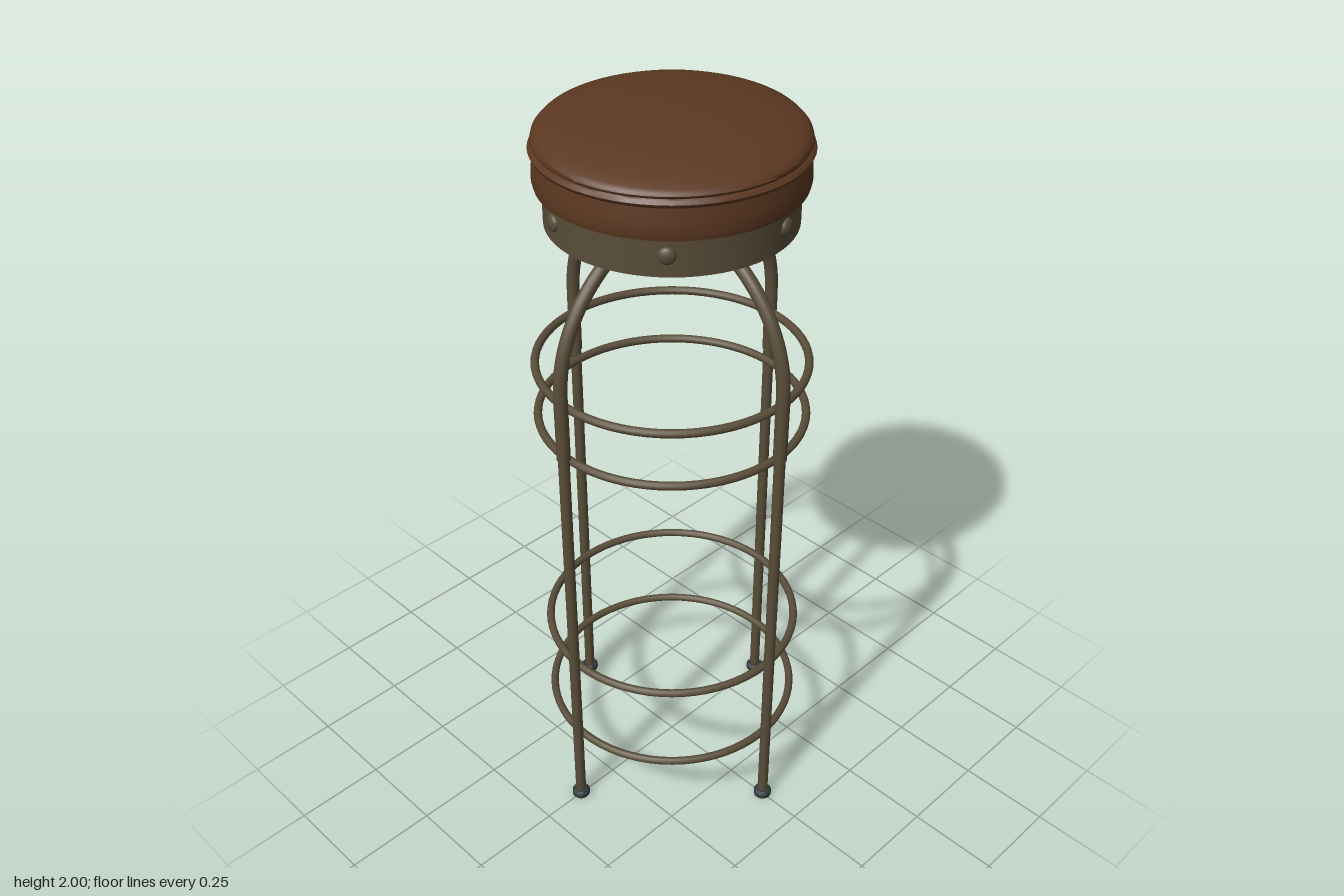
import * as THREE from 'three';
import { toCreasedNormals } from 'three/addons/utils/BufferGeometryUtils.js';

const leather = new THREE.MeshStandardMaterial({ color: 0x5c3821 });
leather.name = 'brown leather';
const metal = new THREE.MeshStandardMaterial({ color: 0x594d39 });
metal.name = 'aged metal';
const rubber = new THREE.MeshStandardMaterial({ color: 0x333a3e });
rubber.name = 'dark grey';

const LEG_R = 0.375; // distance of the legs from the centre

function add(parent, name, geometry, material, x = 0, y = 0, z = 0) {
  const mesh = new THREE.Mesh(geometry, material);
  mesh.name = name;
  mesh.position.set(x, y, z);
  parent.add(mesh);
  return mesh;
}

function lathe(points, segments = 64) {
  return new THREE.LatheGeometry(points.map(([r, y]) => new THREE.Vector2(r, y)), segments);
}

// Padded cushion with a piped seam; the dome leans slightly to one side
function cushionGeometry() {
  const geometry = lathe([
    [0, 1.82], [0.31, 1.82], [0.327, 1.823], [0.331, 1.84], [0.329, 1.87], [0.325, 1.9],
    [0.332, 1.904], [0.336, 1.912], [0.332, 1.92], [0.325, 1.922],
    [0.329, 1.932], [0.326, 1.944], [0.315, 1.954], [0.29, 1.964],
    [0.24, 1.975], [0.17, 1.985], [0.09, 1.991], [0, 1.993],
  ]);
  const p = geometry.attributes.position;
  for (let i = 0; i < p.count; i++) {
    const lean = THREE.MathUtils.smoothstep(p.getY(i), 1.92, 1.96);
    p.setY(i, p.getY(i) + 0.035 * lean * (p.getX(i) - p.getZ(i)));
  }
  return toCreasedNormals(geometry, 0.9);
}

// One leg: straight tube, thicker bent upper tube and a rubber foot
function createLeg(angle) {
  const leg = new THREE.Group();
  leg.name = 'leg';
  add(leg, 'lowerTube', new THREE.CylinderGeometry(0.0145, 0.0145, 1.2, 16), metal, LEG_R, 0.61, 0);

  const points = [new THREE.Vector3(LEG_R, 1.2, 0), new THREE.Vector3(LEG_R, 1.3, 0)];
  for (let i = 0; i <= 10; i++) {
    const a = (i / 10) * Math.PI / 2;
    points.push(new THREE.Vector3(LEG_R * Math.cos(a), 1.385 + 0.36 * Math.sin(a), 0));
  }
  const path = new THREE.CatmullRomCurve3(points);
  add(leg, 'bentTube', new THREE.TubeGeometry(path, 48, 0.0175, 14), metal);

  const foot = lathe([[0, 0], [0.022, 0], [0.025, 0.004], [0.025, 0.016], [0.019, 0.024], [0, 0.024]], 20);
  add(leg, 'foot', toCreasedNormals(foot, 0.7), rubber, LEG_R, 0, 0);
  leg.rotation.y = angle;
  return leg;
}

export function createModel() {
  const stool = new THREE.Group();
  stool.name = 'barStool';

  // Seat
  add(stool, 'cushion', cushionGeometry(), leather);
  const band = lathe([[0.295, 1.725], [0.308, 1.725], [0.308, 1.822], [0.295, 1.822], [0.295, 1.725]]);
  add(stool, 'seatBand', toCreasedNormals(band, 0.7), metal);
  add(stool, 'mountingPlate', new THREE.BoxGeometry(0.24, 0.02, 0.24), rubber, 0, 1.808, 0);

  // Rivets around the band
  for (let i = 0; i < 6; i++) {
    const a = THREE.MathUtils.degToRad(13 + i * 60);
    const rivet = add(stool, 'rivet', new THREE.SphereGeometry(0.022, 16, 10), metal,
      0.307 * Math.sin(a), 1.778, 0.307 * Math.cos(a));
    rivet.scale.z = 0.6;
    rivet.rotation.y = a;
  }

  // Central post under the seat
  add(stool, 'centrePost', new THREE.CylinderGeometry(0.048, 0.048, 0.195, 32), metal, 0, 1.7075, 0);

  // Four legs
  for (let i = 0; i < 4; i++) stool.add(createLeg(i * Math.PI / 2));

  // Hoops inside the legs
  for (const y of [0.225, 0.487, 1.18, 1.333]) {
    const hoop = add(stool, 'hoop', new THREE.TorusGeometry(0.349, 0.011, 12, 72), metal, 0, y, 0);
    hoop.rotation.x = Math.PI / 2;
  }

  return stool;
}
